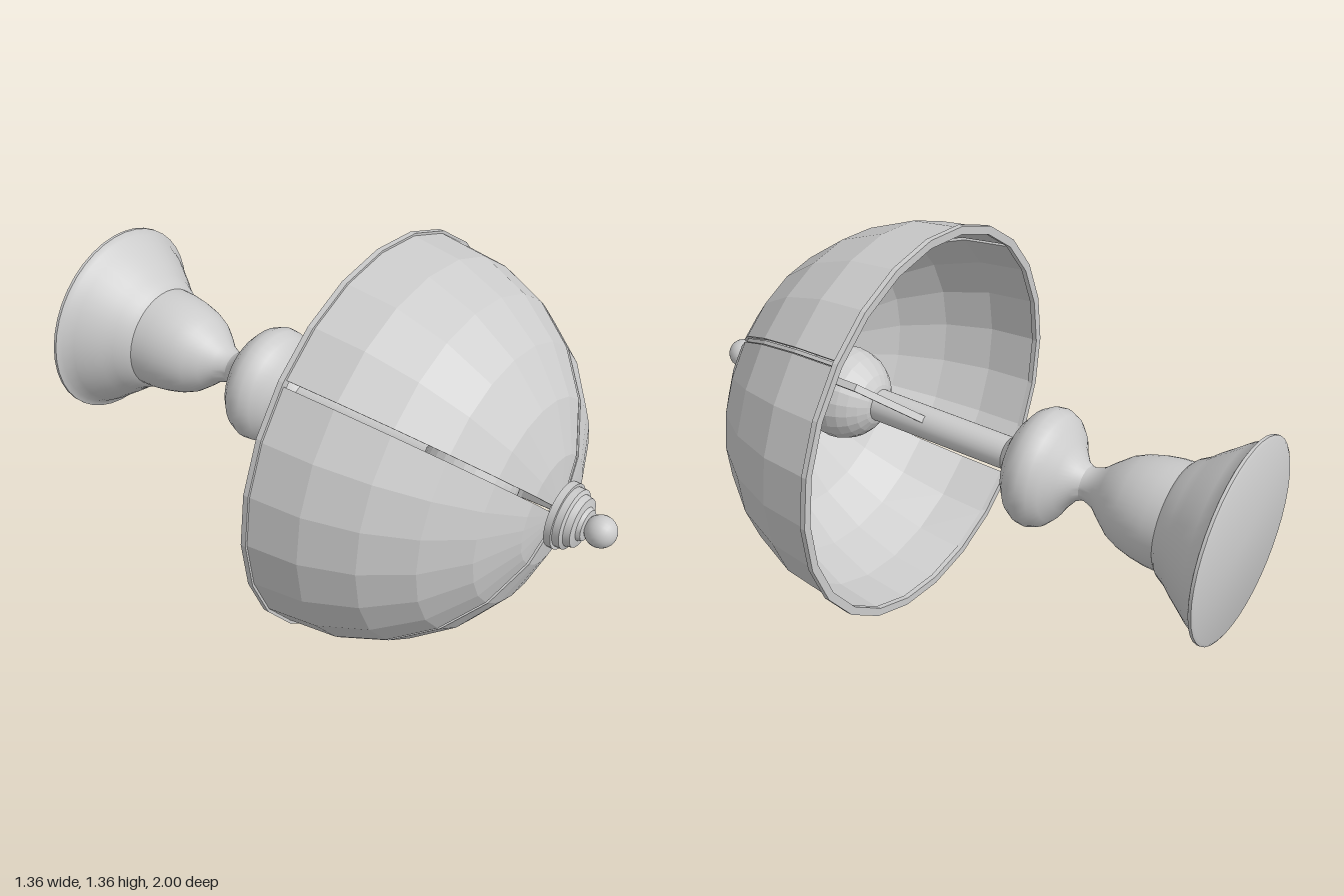
import * as THREE from 'three';
import { toCreasedNormals } from 'three/addons/utils/BufferGeometryUtils.js';

const smooth = new THREE.MeshStandardMaterial({ color: 0xcccccc });
const faceted = new THREE.MeshStandardMaterial({ color: 0xcccccc, flatShading: true, side: THREE.DoubleSide });
const V = (pairs) => pairs.map(([r, y]) => new THREE.Vector2(r, y));

function add(parent, name, geometry, material = smooth) {
  const mesh = new THREE.Mesh(geometry, material);
  mesh.name = name;
  parent.add(mesh);
  return mesh;
}

// Turned part: profile of [radius, height], edges sharper than 35 degrees kept crisp
const turned = (pairs, sides = 32) =>
  toCreasedNormals(new THREE.LatheGeometry(V(pairs), sides), 0.6);

export function createModel() {
  const model = new THREE.Group();
  model.name = 'domeLamp';
  // Everything is turned about a local y axis, which is then laid along +z
  const lamp = new THREE.Group();
  lamp.name = 'lamp';
  lamp.rotation.x = Math.PI / 2;
  lamp.position.y = 0.68;
  model.add(lamp);

  // Mounting canopy with a rolled lip and a flat back
  add(lamp, 'canopy', turned([
    [0, -1], [0.325, -1], [0.335, -0.995], [0.335, -0.985], [0.315, -0.975],
    [0.295, -0.94], [0.265, -0.9], [0.24, -0.865], [0.215, -0.835], [0.195, -0.8],
    [0.178, -0.785], [0.176, -0.74], [0.168, -0.69], [0.155, -0.64], [0.135, -0.595],
    [0.1, -0.55], [0.07, -0.515], [0.057, -0.48], [0.057, -0.465],
  ], 40));

  // Bulbous knob between canopy and rod
  add(lamp, 'knob', turned([
    [0.057, -0.465], [0.07, -0.44], [0.115, -0.405], [0.16, -0.378], [0.187, -0.352],
    [0.2, -0.32], [0.197, -0.29], [0.18, -0.26], [0.145, -0.232], [0.1, -0.208],
    [0.07, -0.192], [0.055, -0.175],
  ], 40));

  // Rod and bulb
  const rod = add(lamp, 'rod', new THREE.CylinderGeometry(0.055, 0.055, 0.55, 24));
  rod.position.y = 0.095;
  const bulb = add(lamp, 'bulb', new THREE.SphereGeometry(0.16, 20, 14), faceted);
  bulb.position.y = 0.49;

  // Flat hexagonal frame around the bulb, joining rod and finial
  const hexagon = (inset) => {
    const w = 0.245 - inset, half = [[0.05, 0.13 + inset], [w, 0.305], [w, 0.665], [0.05, 0.82 - inset]];
    return V([...half, ...half.map(([x, y]) => [-x, y]).reverse()]);
  };
  const frame = new THREE.Shape(hexagon(0));
  frame.holes.push(new THREE.Path(hexagon(0.018)));
  const harp = new THREE.ExtrudeGeometry(frame, { depth: 0.024, bevelEnabled: false });
  harp.translate(0, 0, -0.012).rotateY(Math.PI / 4);
  add(lamp, 'bulbFrame', harp);

  // Closed cross-section of the dome shell, rim to pole and back inside
  const arc = (r, h) => Array.from({ length: 7 }, (_, i) => {
    const a = (i / 6) * Math.PI / 2;
    return [Math.max(r * Math.cos(a), 0.015), 0.13 + h * Math.sin(a)];
  });
  const outer = arc(0.66, 0.675);
  const section = [...outer, ...arc(0.645, 0.66).reverse()];
  const shade = new THREE.Group();
  shade.name = 'shade';
  lamp.add(shade);

  // Four quarter panels, each moved outward so that narrow slits stay between them
  for (let i = 0; i < 4; i++) {
    const start = (i + 0.5) * Math.PI / 2, mid = start + Math.PI / 4;
    const panel = new THREE.Group();
    panel.name = 'shadePanel' + (i + 1);
    panel.position.set(Math.sin(mid) * 0.014, 0, Math.cos(mid) * 0.014);
    shade.add(panel);
    add(panel, 'panelShell',
      new THREE.LatheGeometry(V([...section, outer[0]]), 6, start, Math.PI / 2), faceted);
    for (const phi of [start, start + Math.PI / 2]) {
      const edge = new THREE.ShapeGeometry(new THREE.Shape(V(section)));
      add(panel, 'panelEdge', edge.rotateY(phi - Math.PI / 2), faceted);
    }
  }

  // Thin rib closing the slit at the upper left
  const rib = new THREE.ExtrudeGeometry(new THREE.Shape(V(section)), { depth: 0.012, bevelEnabled: false });
  rib.translate(0, 0, -0.006).rotateY(Math.PI / 4);
  add(shade, 'shadeRib', rib);

  // Rim ring at the open back of the shade
  add(shade, 'shadeRim', new THREE.LatheGeometry(V([
    [0.652, 0.12], [0.68, 0.12], [0.68, 0.138], [0.652, 0.138], [0.652, 0.12],
  ]), 24), faceted);

  // Stepped cap and ball finial at the front
  add(lamp, 'finialCap', turned([
    [0, 0.79], [0.055, 0.79], [0.055, 0.812], [0.108, 0.812], [0.108, 0.835], [0.098, 0.835],
    [0.098, 0.858], [0.085, 0.864], [0.08, 0.885], [0.055, 0.89], [0.05, 0.903],
    [0.025, 0.906], [0.025, 0.925],
  ]));
  const ball = add(lamp, 'finialBall', new THREE.SphereGeometry(0.051, 24, 16));
  ball.position.y = 0.946;

  return model;
}
